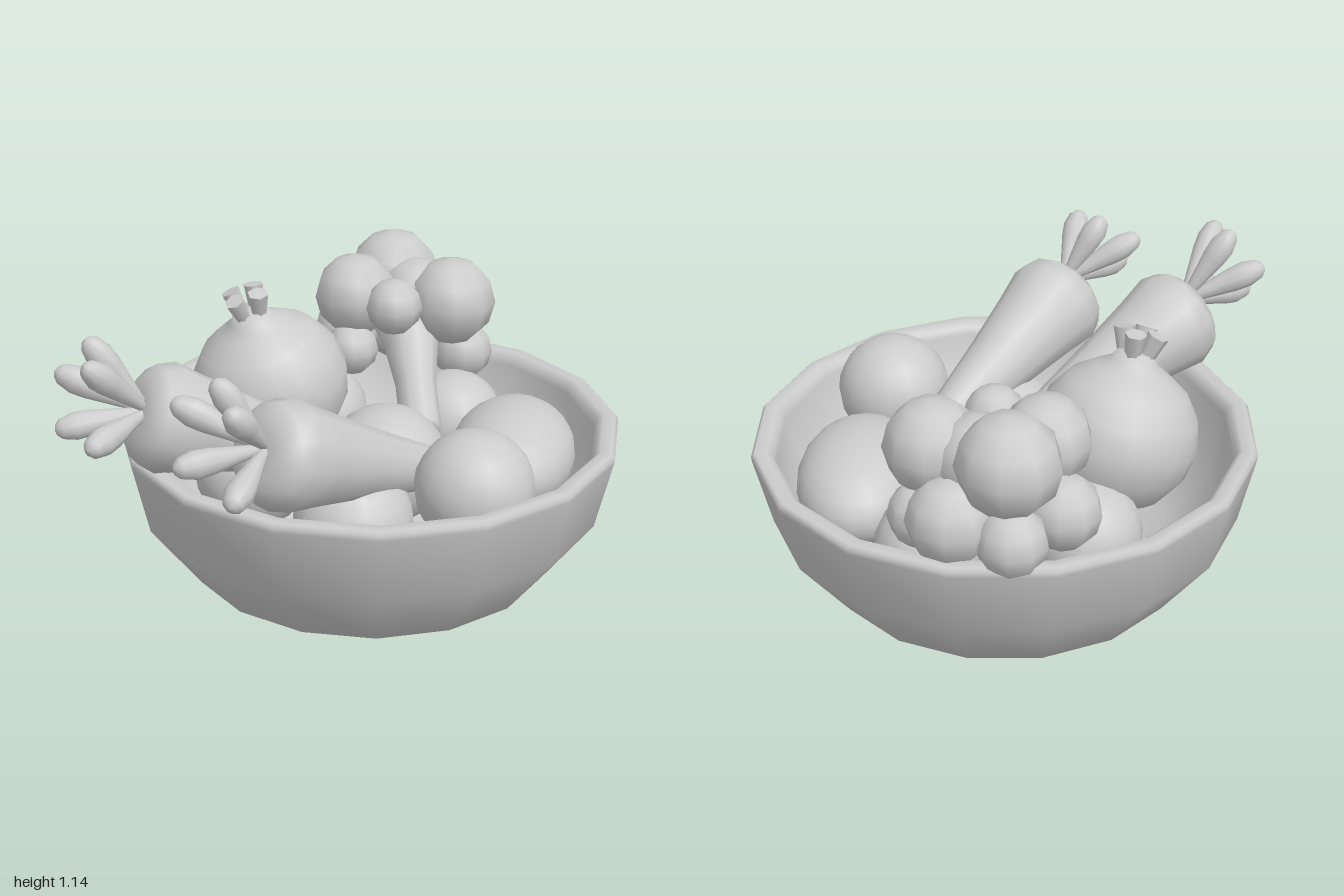
import * as THREE from 'three';

const V = (a) => new THREE.Vector3(...a);
const UP = new THREE.Vector3(0, 1, 0);

export function createModel() {
  const root = new THREE.Group();
  root.name = 'vegetableBowl';
  const mat = new THREE.MeshStandardMaterial({ color: 0xcccccc });

  const add = (name, geo, parent = root) => {
    const m = new THREE.Mesh(geo, mat);
    m.name = name;
    parent.add(m);
    return m;
  };
  const lathe = (pts, seg, start = 0) =>
    new THREE.LatheGeometry(pts.map((p) => new THREE.Vector2(...p)), seg, start);
  // Ellipsoid with its own radii, turned about y
  const blob = (name, pos, radii, yaw = 0, parent = root, w = 16, h = 12) => {
    const m = add(name, new THREE.SphereGeometry(1, w, h), parent);
    m.position.set(...pos);
    m.scale.set(...radii);
    m.rotation.y = yaw;
    return m;
  };
  // Lathe whose axis runs from a to b; the profile is [radius, fraction of length]
  const spindle = (name, a, b, profile, seg, parent = root) => {
    const dir = V(b).sub(V(a));
    const len = dir.length();
    const m = add(name, lathe(profile.map(([r, t]) => [r, t * len]), seg), parent);
    m.position.set(...a);
    m.quaternion.setFromUnitVectors(UP, dir.normalize());
    return m;
  };

  // Sixteen-sided bowl: outside, rounded lip, inside
  const k = 1 / Math.cos(Math.PI / 16);
  const bowl = add('bowl', lathe([
    [0, 0], [0.37, 0.02], [0.64, 0.13], [0.815, 0.37], [0.87, 0.62], [0.872, 0.64],
    [0.86, 0.652], [0.82, 0.652], [0.80, 0.635], [0.79, 0.61],
    [0.74, 0.38], [0.58, 0.19], [0.33, 0.09], [0, 0.07],
  ].map(([r, y]) => [r * k, y]), 16, Math.PI / 16));
  bowl.position.x = 0.125;

  // Carrots with their leaf tufts
  const carrotProfile = [
    [0, 0], [0.045, 0.005], [0.067, 0.04], [0.085, 0.2], [0.125, 0.5],
    [0.165, 0.75], [0.19, 0.88], [0.17, 0.95], [0.125, 0.99], [0.05, 1.0], [0, 0.985],
  ];
  const leafProfile = [
    [0, 0], [0.014, 0.03], [0.028, 0.3], [0.045, 0.62], [0.048, 0.78], [0.035, 0.93], [0.018, 0.985], [0, 1],
  ];
  const carrot = (name, tip, crown, base, leafTips) => {
    const g = new THREE.Group();
    g.name = name;
    root.add(g);
    spindle('carrotRoot', tip, crown, carrotProfile, 12, g);
    leafTips.forEach((t) => spindle('carrotLeaf', base, t, leafProfile, 10, g));
  };
  carrot('backCarrot', [0.09, 0.53, 0.07], [-0.73, 0.86, 0.24], [-0.69, 0.87, 0.26], [
    [-0.88, 1.13, 0.24], [-0.9, 1.1, 0.4], [-0.98, 1.0, 0.17], [-1.0, 0.85, 0.31], [-0.91, 0.83, 0.46],
  ]);
  carrot('frontCarrot', [0.38, 0.51, 0.2], [-0.39, 0.84, 0.6], [-0.36, 0.86, 0.61], [
    [-0.52, 1.1, 0.6], [-0.5, 1.06, 0.77], [-0.65, 1.02, 0.55], [-0.67, 0.86, 0.71], [-0.52, 0.78, 0.86],
  ]);

  // Onion: round body drawn into a tilted neck
  const onion = new THREE.Group();
  onion.name = 'onion';
  onion.position.set(-0.18, 0.71, -0.27);
  onion.quaternion.setFromUnitVectors(UP, V([-0.27, 1, 0.08]).normalize());
  root.add(onion);
  add('onionBody', lathe([
    [0, -0.27], [0.1, -0.255], [0.2, -0.195], [0.265, -0.1], [0.285, 0], [0.265, 0.1],
    [0.21, 0.18], [0.13, 0.235], [0.08, 0.265], [0.06, 0.3], [0, 0.31],
  ], 20), onion);
  // Four cut stubs on the neck
  for (const sx of [-1, 1]) {
    for (const sz of [-1, 1]) {
      const geo = new THREE.CylinderGeometry(0.038, 0.026, 0.1, 6);
      const s = add('onionStub', geo, onion);
      s.position.set(sx * 0.034, 0.325, sz * 0.034);
      s.rotation.set(sz * 0.18, 0, -sx * 0.18);
    }
  }

  // Broccoli: flared stalk, branches and a cluster of coarse florets
  const broccoli = new THREE.Group();
  broccoli.name = 'broccoli';
  root.add(broccoli);
  spindle('broccoliStalk', [0.33, 0.54, -0.04], [0.4, 0.84, -0.53],
    [[0, 0], [0.065, 0.005], [0.075, 0.05], [0.075, 0.4], [0.1, 0.7], [0.15, 1], [0, 1.02]], 10, broccoli);
  [
    [0.38, 0.94, -0.67, 0.175], [0.2, 0.92, -0.54, 0.155], [0.54, 0.91, -0.42, 0.165],
    [0.3, 0.93, -0.35, 0.105], [0.55, 0.74, -0.6, 0.15], [0.2, 0.73, -0.68, 0.13],
    [0.6, 0.69, -0.46, 0.115], [0.4, 0.7, -0.74, 0.12], [0.17, 0.73, -0.47, 0.1],
    [0.43, 0.9, -0.53, 0.15],
  ].forEach(([x, y, z, r], i) =>
    blob('floret', [x, y, z], [r, r, r], i * 0.7, broccoli, 9, 6));

  // Potato and round vegetables filling the bowl
  blob('potato', [0.63, 0.51, 0.1], [0.225, 0.18, 0.33], 2.72, root, 20, 14);
  [
    [0.36, 0.6, 0.52, 0.205], [0.19, 0.46, -0.01, 0.225], [0.03, 0.48, -0.47, 0.2],
    [-0.29, 0.47, -0.04, 0.21], [-0.02, 0.44, 0.37, 0.21], [0.53, 0.47, -0.33, 0.19],
  ].forEach(([x, y, z, r]) => blob('roundVegetable', [x, y, z], [r, r * 0.97, r]));

  return root;
}
